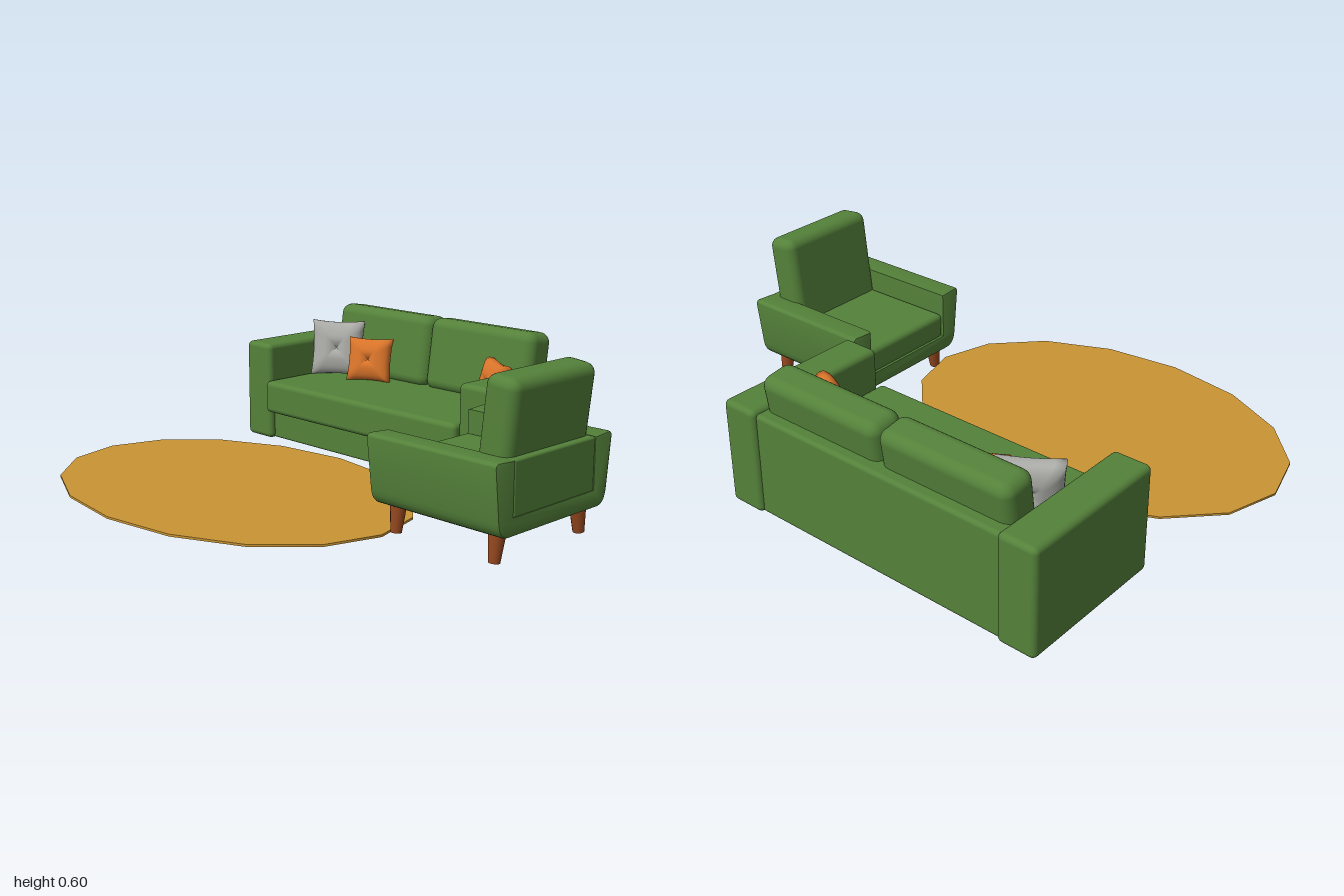
import * as THREE from 'three';
import { toCreasedNormals } from 'three/addons/utils/BufferGeometryUtils.js';
import { RoundedBoxGeometry } from 'three/addons/geometries/RoundedBoxGeometry.js';

const material = (name, color) => {
  const m = new THREE.MeshStandardMaterial({ color });
  m.name = name;
  return m;
};
const green = material('green fabric', 0x54813a);
const ochre = material('ochre rug', 0xc89434);
const wood = material('brown wood', 0x96481f);
const orange = material('orange fabric', 0xd9742a);
const grey = material('grey fabric', 0xaaaaa6);

function add(parent, name, geometry, mat, x = 0, y = 0, z = 0) {
  const mesh = new THREE.Mesh(geometry, mat);
  mesh.name = name;
  mesh.position.set(x, y, z);
  parent.add(mesh);
  return mesh;
}

// Upholstered block
const block = (parent, name, [w, h, d], [x, y, z], r = 0.02) =>
  add(parent, name, new RoundedBoxGeometry(w, h, d, 3, r), green, x, y, z);

// Puffed square with pinched sides and a tufted centre
function pillowGeometry(w, h, t) {
  const g = new THREE.SphereGeometry(1, 32, 20);
  g.rotateX(Math.PI / 2);
  const p = g.attributes.position;
  for (let i = 0; i < p.count; i++) {
    const x = p.getX(i), y = p.getY(i), z = p.getZ(i);
    const r = Math.hypot(x, y);
    const big = Math.max(Math.abs(x), Math.abs(y), 1e-6);
    const k = r / big; // disc to square
    const u = x * k, v = y * k;
    const puff = Math.sign(z) * Math.pow(Math.abs(z), 0.75) * (1 - 0.45 * Math.exp(-r * r * 40));
    p.setXYZ(i,
      u * w / 2 * (0.93 + 0.07 * v * v),
      v * h / 2 * (0.93 + 0.07 * u * u),
      puff * t / 2);
  }
  g.computeVertexNormals();
  return g;
}

function createSofa() {
  const sofa = new THREE.Group();
  sofa.name = 'sofa';
  for (const s of [-1, 1]) {
    block(sofa, 'sofaArm', [0.58, 0.395, 0.145], [0, 0.2, s * 0.585]);
    const back = block(sofa, 'backCushion', [0.135, 0.29, 0.52], [0.163, 0.377, s * 0.26], 0.04);
    back.rotation.z = -0.14;
  }
  block(sofa, 'sofaBase', [0.54, 0.15, 1.05], [0.005, 0.08, 0], 0.01);
  block(sofa, 'sofaBackPanel', [0.09, 0.38, 1.04], [0.232, 0.195, 0], 0.015);
  block(sofa, 'seatCushion', [0.5, 0.13, 1.035], [-0.065, 0.185, 0]);
  sofa.position.set(0.565, 0, -0.23);
  sofa.rotation.y = 0.01;
  return sofa;
}

function createArmchair() {
  const chair = new THREE.Group();
  chair.name = 'armchair';

  // U-shaped shell of arms and base
  const s = new THREE.Shape();
  s.moveTo(-0.2, 0.355);
  s.lineTo(-0.275, 0.36);
  s.quadraticCurveTo(-0.293, 0.358, -0.291, 0.34);
  s.lineTo(-0.272, 0.17);
  s.quadraticCurveTo(-0.265, 0.12, -0.225, 0.118);
  s.lineTo(0.225, 0.118);
  s.quadraticCurveTo(0.265, 0.12, 0.272, 0.17);
  s.lineTo(0.291, 0.34);
  s.quadraticCurveTo(0.293, 0.358, 0.275, 0.36);
  s.lineTo(0.2, 0.355);
  s.lineTo(0.2, 0.18);
  s.lineTo(-0.2, 0.18);
  s.closePath();
  const b = 0.01, depth = 0.53;
  const shell = new THREE.ExtrudeGeometry(s, {
    depth: depth - 2 * b, bevelThickness: b, bevelSize: b, bevelOffset: -b,
    bevelSegments: 2, curveSegments: 5,
  });
  shell.translate(0, 0, b - depth / 2);
  add(chair, 'chairShell', toCreasedNormals(shell, 0.7), green);

  block(chair, 'chairSeat', [0.405, 0.1, 0.5], [0, 0.225, -0.012]);
  block(chair, 'chairBackPanel', [0.405, 0.18, 0.1], [0, 0.265, 0.213], 0.008);
  const back = block(chair, 'chairBackCushion', [0.415, 0.36, 0.125], [0, 0.417, 0.182], 0.035);
  back.rotation.x = 0.11;

  // Tapered, splayed legs
  const leg = new THREE.CylinderGeometry(0.03, 0.019, 0.11, 12);
  for (const x of [-1, 1]) for (const z of [-1, 1])
    add(chair, 'chairLeg', leg, wood, x * 0.207, 0.08, z * 0.203).rotation.z = x * 0.12;

  chair.position.set(-0.055, 0, 0.722);
  chair.rotation.y = 0.02;
  return chair;
}

function createPillow(name, mat, [w, h, t], [x, y, z], yaw, lean) {
  const pillow = new THREE.Mesh(pillowGeometry(w, h, t), mat);
  pillow.name = name;
  pillow.position.set(x, y, z);
  pillow.rotation.set(-lean, yaw, 0, 'YXZ');
  return pillow;
}

export function createModel() {
  const model = new THREE.Group();
  model.name = 'livingRoomSet';
  model.add(createSofa(), createArmchair());

  // Throw pillows on the sofa
  model.add(
    createPillow('greyPillow', grey, [0.22, 0.23, 0.1], [0.565, 0.362, -0.645], -0.99, 0.2),
    createPillow('orangePillow', orange, [0.185, 0.18, 0.09], [0.575, 0.335, -0.465], -1.1, 0.25),
    createPillow('orangePillow', orange, [0.185, 0.18, 0.09], [0.575, 0.335, 0.195], -2.11, 0.3),
  );

  // Oval sixteen-sided rug with a brown underside
  const rug = new THREE.CylinderGeometry(1, 1, 0.008, 16);
  rug.scale(0.532, 1, 0.762);
  add(model, 'rug', rug, [ochre, ochre, wood], -0.337, 0.028, -0.238);
  return model;
}
